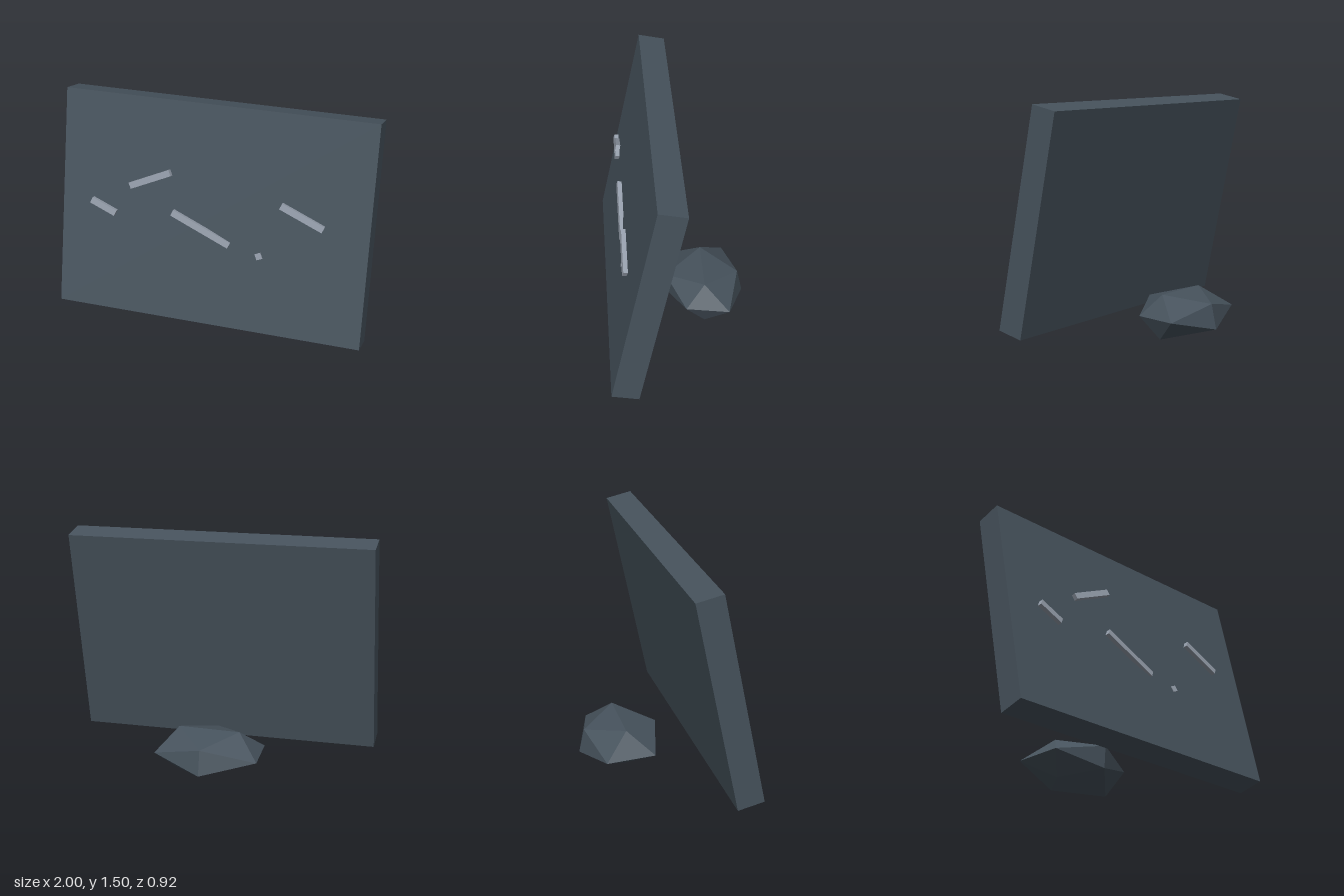
import * as THREE from 'three';
import { ConvexGeometry } from 'three/addons/geometries/ConvexGeometry.js';

const TILT = -0.21;

export function createModel() {
  const model = new THREE.Group();
  model.name = 'leaningSlab';
  const slate = new THREE.MeshStandardMaterial({ color: 0x46525c, flatShading: true });
  slate.name = 'dark slate';
  const chalk = new THREE.MeshStandardMaterial({ color: 0x949daa, flatShading: true });
  chalk.name = 'pale grey';

  const add = (name, geometry, material, x = 0, y = 0, z = 0) => {
    const mesh = new THREE.Mesh(geometry, material);
    mesh.name = name;
    mesh.position.set(x, y, z);
    model.add(mesh);
    return mesh;
  };

  // Thick slab leaning backwards
  add('slab', new THREE.BoxGeometry(2, 1.411, 0.174), slate, 0, 0.792, 0.228).rotation.x = TILT;

  // Short bars in front of the slab: x, y, length, slope
  const bars = [
    [-0.708, 0.795, 0.175, -0.42],
    [-0.385, 1.03, 0.295, 0.435],
    [-0.06, 0.735, 0.41, -0.435],
    [0.588, 0.912, 0.292, -0.425],
    [0.322, 0.606, 0.04, 0.43],
  ];
  bars.forEach(([x, y, length, slope], i) => {
    const bar = add(`bar${i + 1}`, new THREE.BoxGeometry(length, 0.04, 0.028), chalk, x, y, 0.347);
    bar.rotation.set(TILT, 0, slope, 'ZYX');
  });

  // Irregular twelve-cornered rock behind the slab
  const corners = [
    [-0.2, 0.28, -0.19], [0.2, 0.285, -0.185], // top ridge
    [-0.18, 0.035, -0.19], [0.225, 0, -0.185], // bottom ridge
    [0, 0.22, 0.06], [0, 0.075, 0.05], // front
    [0, 0.22, -0.425], [0, 0.06, -0.46], // back
    [0.325, 0.145, -0.34], [0.275, 0.145, -0.06], // left side
    [-0.35, 0.145, -0.355], [-0.33, 0.145, -0.03], // right side
  ];
  add('rock', new ConvexGeometry(corners.map((c) => new THREE.Vector3(...c))), slate);

  return model;
}
